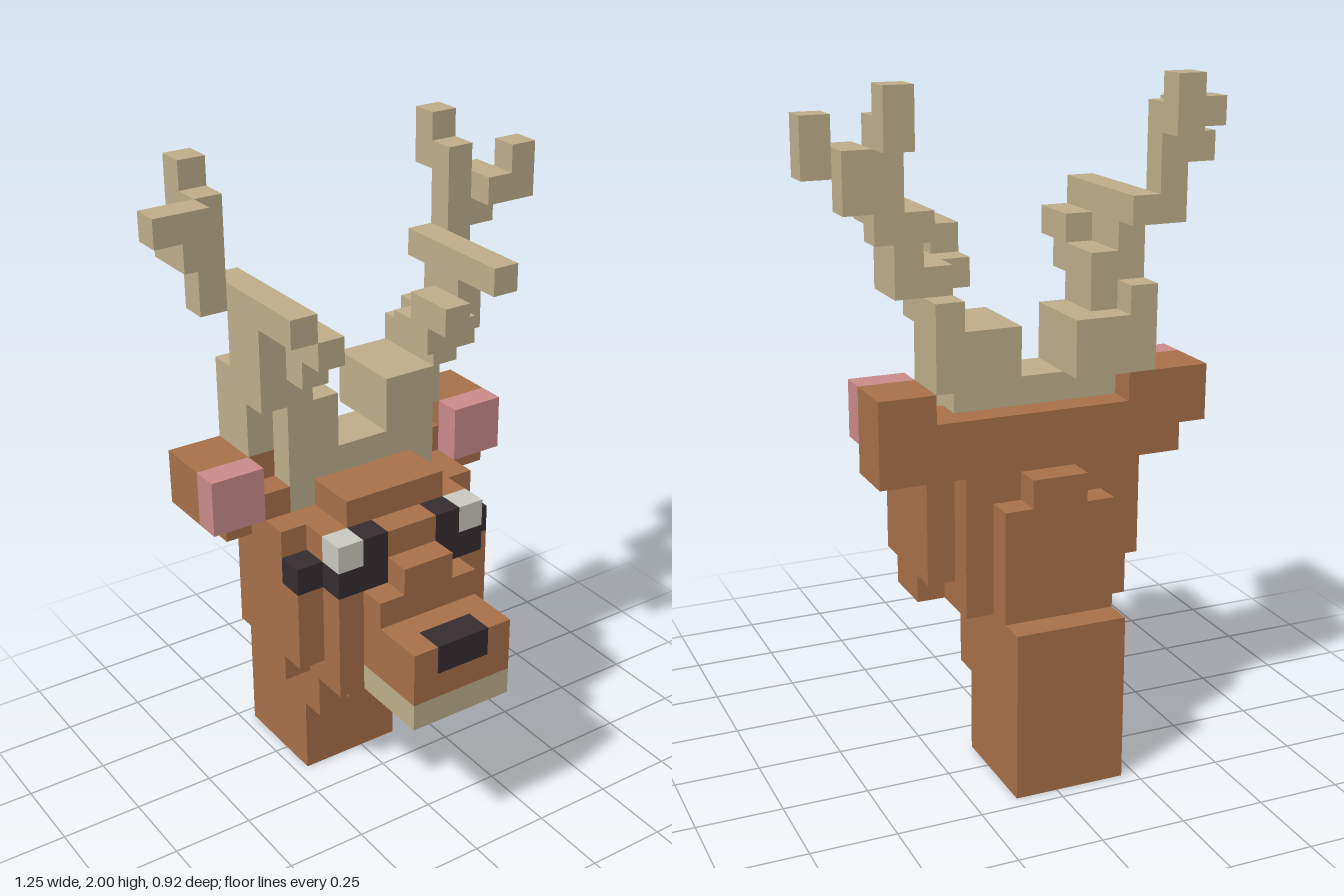
import * as THREE from 'three';

// Everything sits on a grid of cubes: 15 wide, 24 tall, 11 deep
const U = 1 / 12;

export function createModel() {
  const model = new THREE.Group();
  model.name = 'deerHead';

  const mat = (name, color) => {
    const m = new THREE.MeshStandardMaterial({ color });
    m.name = name;
    return m;
  };
  const fur = mat('brown fur', 0xa8714a);
  const tan = mat('tan antler', 0xbfae8b);
  const pink = mat('pink inner ear', 0xcc8b8b);
  const dark = mat('dark eye and nose', 0x352d2f);
  const white = mat('white eye glint', 0xcbc9c2);

  // Each block is [x0, x1, y0, y1, z0, z1] in grid cells, z counted from the back
  const part = (name, material, blocks, grow = 0) => {
    const group = new THREE.Group();
    group.name = name;
    for (const [x0, x1, y0, y1, z0, z1] of blocks) {
      const geo = new THREE.BoxGeometry((x1 - x0) * U + grow, (y1 - y0) * U + grow, (z1 - z0) * U + grow);
      const mesh = new THREE.Mesh(geo, material);
      mesh.name = name + 'Block';
      mesh.position.set(((x0 + x1) / 2 - 7.5) * U, ((y0 + y1) / 2) * U, ((z0 + z1) / 2 - 5.5) * U);
      group.add(mesh);
    }
    model.add(group);
  };
  // Mirror blocks about the middle of the face
  const both = (blocks) => blocks.flatMap((b) => [b, [14 - b[1], 14 - b[0], ...b.slice(2)]]);

  // Neck, stepping forward under the head
  part('neck', fur, [[5, 9, 0, 6, 0, 4], [5, 9, 3, 6, 3, 5], [5, 9, 5, 6, 4, 7]]);

  // Skull, brow and the bump at the back
  part('head', fur, [
    [4, 10, 6, 10, 2, 8],
    [4, 10, 10, 12, 2, 7],
    [6, 8, 10, 12, 7, 8],
    [5, 9, 12, 13, 2, 7],
    [4, 10, 12, 13, 2, 3],
    [5, 9, 6, 10, 1, 2],
    [6, 8, 10, 11, 1, 2],
  ]);
  part('cheek', fur, both([
    [10, 11, 7, 10, 3, 7],
    [10, 11, 10, 12, 3, 6],
    [10, 11, 6, 7, 4, 6],
  ]));

  // Muzzle
  part('muzzle', fur, [[5, 9, 7, 9, 8, 11], [5, 9, 9, 10, 8, 9], [6, 8, 10, 11, 8, 9]]);
  part('chin', tan, [[5, 9, 6, 7, 8, 11]]);
  part('nose', dark, [[6, 8, 8, 9, 10, 11]], 0.006);

  // Eyes
  part('eye', dark, both([[8, 10, 10, 11, 7, 8], [8, 9, 11, 12, 7, 8], [10, 11, 10, 11, 6, 7]]));
  part('eyeGlint', white, both([[9, 10, 11, 12, 7, 8]]));

  // Ears
  part('leftEar', fur, [[11, 13, 11, 14, 2, 4], [10, 11, 11, 13, 2, 4]]);
  part('rightEar', fur, [[1, 4, 12, 14, 2, 4], [2, 4, 11, 12, 2, 4], [3, 4, 12, 13, 4, 5]]);
  part('innerEar', pink, both([[11, 13, 12, 14, 4, 5]]));

  // Antler bases joined across the crown
  part('antlerBase', tan, [
    [4, 10, 13, 14, 3, 5],
    ...both([
      [9, 10, 12, 13, 3, 5],
      [8, 10, 14, 16, 2, 5],
      [10, 11, 14, 17, 2, 4],
      [10, 11, 16, 17, 3, 5],
      [9, 10, 17, 18, 4, 6],
      [9, 10, 18, 19, 5, 7],
    ]),
  ]);

  // Upper antlers: the left spreads wider than the right
  part('leftAntler', tan, [
    [10, 11, 17, 18, 3, 6],
    [11, 12, 17, 19, 3, 5],
    [11, 12, 19, 20, 2, 7],
    [12, 13, 19, 23, 2, 3],
    [12, 13, 22, 24, 1, 2],
    [13, 14, 20, 22, 2, 3],
    [13, 15, 21, 22, 3, 4],
    [14, 15, 22, 23, 3, 4],
  ]);
  part('rightAntler', tan, [
    [4, 5, 14, 18, 3, 5],
    [3, 4, 17, 19, 3, 5],
    [3, 4, 19, 20, 2, 7],
    [2, 3, 19, 23, 2, 3],
    [2, 3, 22, 24, 1, 2],
    [1, 2, 21, 22, 2, 4],
    [0, 2, 22, 23, 3, 4],
  ]);

  return model;
}
